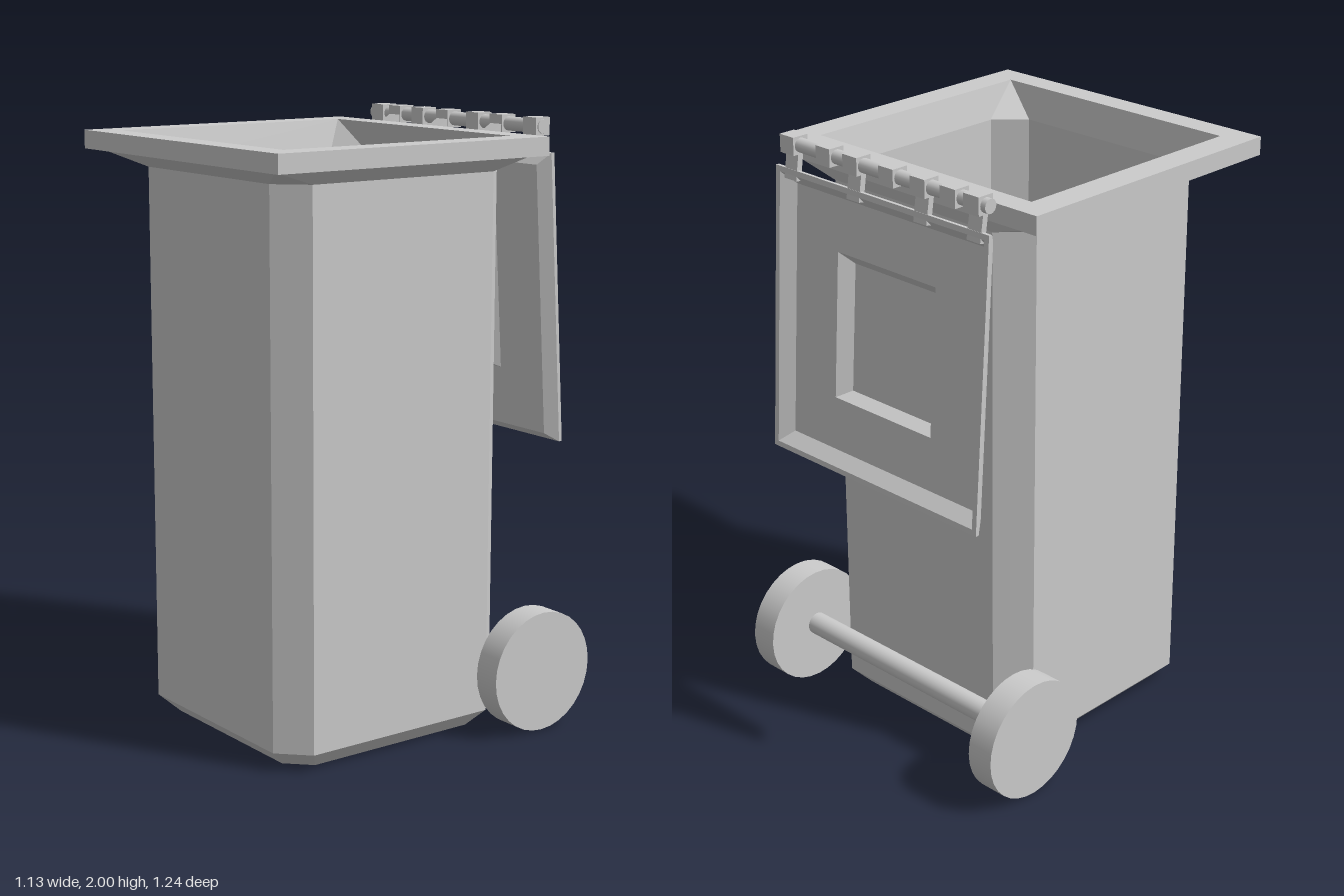
import * as THREE from 'three';

const material = new THREE.MeshStandardMaterial({ color: 0xcccccc, side: THREE.DoubleSide });

// Eight-point rectangular ring in the xz plane with corners cut by c
function ring(x0, x1, z0, z1, y, c = 0) {
  return [
    [x0 + c, z1], [x1 - c, z1], [x1, z1 - c], [x1, z0 + c],
    [x1 - c, z0], [x0 + c, z0], [x0, z0 + c], [x0, z1 - c],
  ].map(([x, z]) => new THREE.Vector3(x, y, z));
}

// Flat-faceted skin through a list of rings, with optional end caps
function loft(rings, capStart, capEnd) {
  const points = [];
  const tri = (a, b, c) => {
    if (new THREE.Triangle(a, b, c).getArea() > 1e-8) points.push(a, b, c);
  };
  for (let i = 0; i < rings.length - 1; i++) {
    const r = rings[i], s = rings[i + 1];
    for (let j = 0; j < 8; j++) {
      const k = (j + 1) % 8;
      tri(r[j], r[k], s[k]);
      tri(r[j], s[k], s[j]);
    }
  }
  const first = rings[0], last = rings[rings.length - 1];
  for (let j = 1; j < 7; j++) {
    if (capStart) tri(first[0], first[j + 1], first[j]);
    if (capEnd) tri(last[0], last[j], last[j + 1]);
  }
  const geometry = new THREE.BufferGeometry().setFromPoints(points);
  geometry.computeVertexNormals();
  return geometry;
}

export function createModel() {
  const model = new THREE.Group();
  const add = (name, geometry, x = 0, y = 0, z = 0, parent = model) => {
    const mesh = new THREE.Mesh(geometry, material);
    mesh.name = name;
    mesh.position.set(x, y, z);
    parent.add(mesh);
    return mesh;
  };
  const rod = (radius, length, sides) =>
    new THREE.CylinderGeometry(radius, radius, length, sides).rotateZ(Math.PI / 2);

  // Thin-walled container: floor, walls, flare, rim and sloped mouth
  add('container', loft([
    ring(-0.375, 0.375, -0.32, 0.445, 0, 0.075),
    ring(-0.433, 0.433, -0.375, 0.507, 0.06, 0.092),
    ring(-0.433, 0.433, -0.375, 0.507, 1.84, 0.092),
    ring(-0.49, 0.49, -0.4, 0.59, 1.89),
    ring(-0.55, 0.55, -0.41, 0.62, 1.89),
    ring(-0.55, 0.55, -0.41, 0.62, 1.95),
    ring(-0.455, 0.455, -0.33, 0.535, 1.95),
    ring(-0.433, 0.433, -0.375, 0.507, 1.84, 0.092),
  ], true, false));

  // Open lid hanging behind: a hollow tray with a pressed square panel
  const w = 0.462;
  const lid = add('lid', loft([
    ring(-0.19, 0.19, -0.7, -0.265, -0.097),
    ring(-0.225, 0.225, -0.725, -0.22, -0.05),
    ring(-w + 0.03, w - 0.03, -0.917, -0.035, -0.05),
    ring(-w, w, -0.947, 0, -0.012),
    ring(-w, w, -0.947, 0, 0),
    ring(-w + 0.018, w - 0.018, -0.929, -0.018, 0),
    ring(-w + 0.055, w - 0.055, -0.892, -0.055, -0.04),
    ring(-0.215, 0.215, -0.715, -0.23, -0.04),
    ring(-0.185, 0.185, -0.695, -0.27, -0.087),
  ], true, true), 0.012, 1.89, -0.5);
  lid.rotation.x = -Math.PI / 2 + 0.063;

  // Hinge rod with alternating lid and container knuckles
  const hinge = new THREE.Group();
  hinge.name = 'hinge';
  model.add(hinge);
  const hy = 1.971, hz = -0.483;
  add('hingeRod', rod(0.023, 0.88, 16), 0, hy, hz, hinge);
  const knuckle = new THREE.BoxGeometry(0.062, 0.058, 0.058);
  for (const x of [-0.39, -0.17, 0.12, 0.405]) {
    add('lidKnuckle', knuckle, x, hy, hz, hinge);
    add('lidHingeArm', new THREE.BoxGeometry(0.055, 0.1, 0.02), x, 1.905, -0.486, hinge).rotation.x = 0.15;
  }
  for (const x of [-0.295, -0.037, 0.24]) {
    add('containerKnuckle', knuckle, x, hy, hz, hinge);
    add('containerHingeArm', new THREE.BoxGeometry(0.055, 0.02, 0.09), x, 1.945, -0.435, hinge).rotation.x = 0.6;
  }

  // Axle and wheels
  add('axle', rod(0.038, 0.96, 24), 0, 0.207, -0.415);
  for (const side of [-1, 1]) {
    add(side > 0 ? 'leftWheel' : 'rightWheel', rod(0.201, 0.095, 32), side * 0.517, 0.204, -0.415);
  }
  return model;
}
